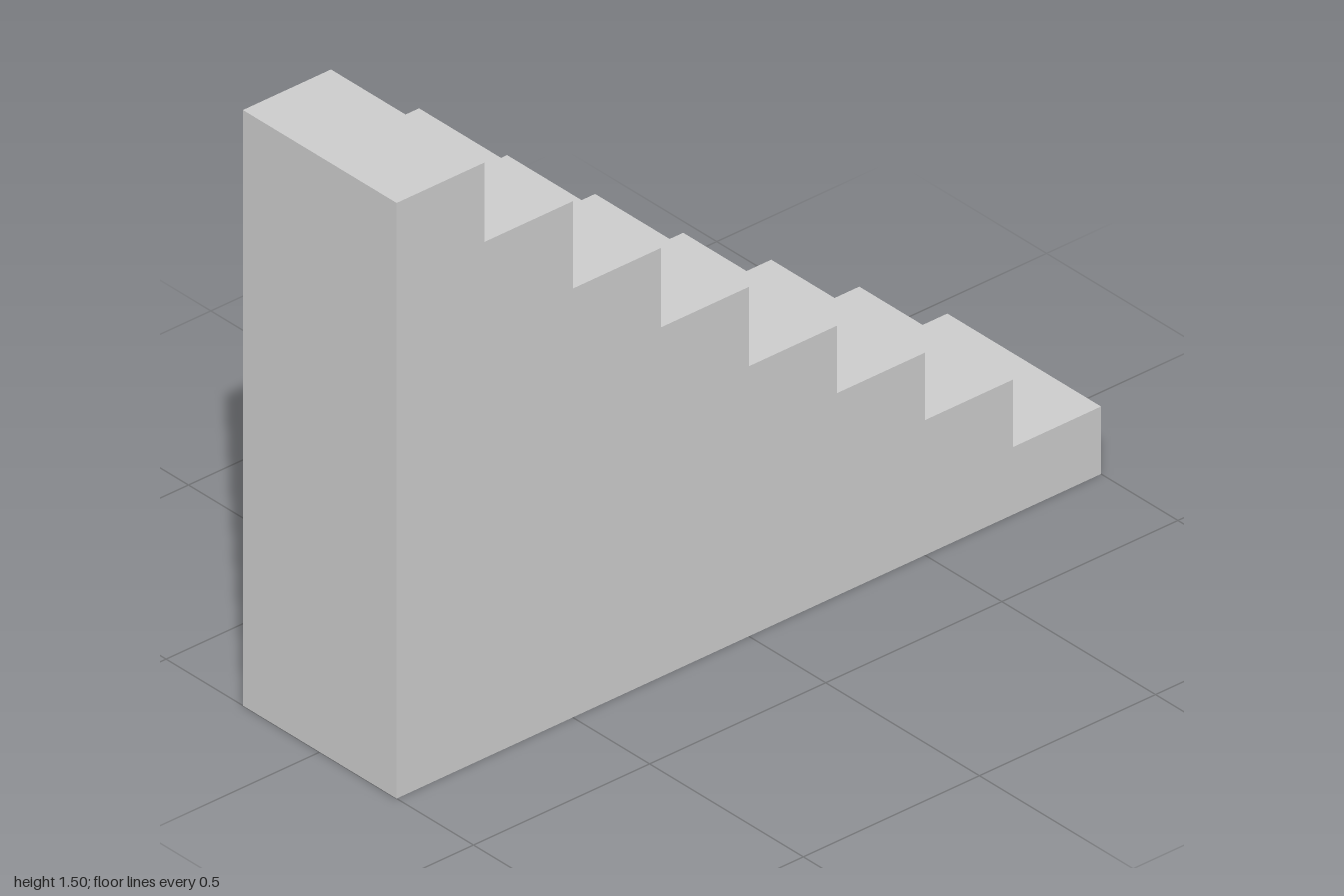
import * as THREE from 'three';

const TREAD = 0.25;        // depth of each tread along x
const HALF_WIDTH = 0.25;   // half the stair width along z
const NICHE_HALF = 0.2;    // half the niche width
const NICHE_DEPTH = 0.065; // how far the niches cut into the risers
const SILL = 0.01;         // strip below each niche

// Tread heights from the lowest step to the highest, and the lintel above each niche
const HEIGHTS = [0.17, 0.34, 0.51, 0.68, 0.88, 1.08, 1.3, 1.5];
const LINTELS = [0.05, 0.05, 0.05, 0.05, 0.06, 0.06, 0.06, 0.06];

const material = new THREE.MeshStandardMaterial({ color: 0xcccccc });

function rectangle(path, halfWidth, bottom, top) {
  path.moveTo(-halfWidth, bottom);
  path.lineTo(halfWidth, bottom);
  path.lineTo(halfWidth, top);
  path.lineTo(-halfWidth, top);
  path.closePath();
  return path;
}

// Solid stepped core, with its risers set back to form the niche backs
function createCore() {
  const shape = new THREE.Shape();
  shape.moveTo(-1, 0);
  let y = 0;
  HEIGHTS.forEach((height, i) => {
    const x = 1 - i * TREAD - NICHE_DEPTH;
    shape.lineTo(x, y);
    shape.lineTo(x, height);
    y = height;
  });
  shape.lineTo(-1, y);
  shape.closePath();

  const geometry = new THREE.ExtrudeGeometry(shape, { depth: HALF_WIDTH * 2, bevelEnabled: false });
  geometry.translate(0, 0, -HALF_WIDTH);
  const core = new THREE.Mesh(geometry, material);
  core.name = 'stairCore';
  return core;
}

// Riser frame with a rectangular opening, facing +x
function createRiser(index) {
  const bottom = index === 0 ? 0 : HEIGHTS[index - 1];
  const top = HEIGHTS[index];
  const shape = rectangle(new THREE.Shape(), HALF_WIDTH, bottom, top);
  shape.holes.push(rectangle(new THREE.Path(), NICHE_HALF, bottom + SILL, top - LINTELS[index]));

  const geometry = new THREE.ExtrudeGeometry(shape, { depth: NICHE_DEPTH, bevelEnabled: false });
  geometry.rotateY(Math.PI / 2);
  const riser = new THREE.Mesh(geometry, material);
  riser.position.x = 1 - index * TREAD - NICHE_DEPTH;
  riser.name = `riserFrame${index + 1}`;
  return riser;
}

export function createModel() {
  const staircase = new THREE.Group();
  staircase.name = 'staircase';
  staircase.add(createCore());
  HEIGHTS.forEach((_, i) => staircase.add(createRiser(i)));
  return staircase;
}
